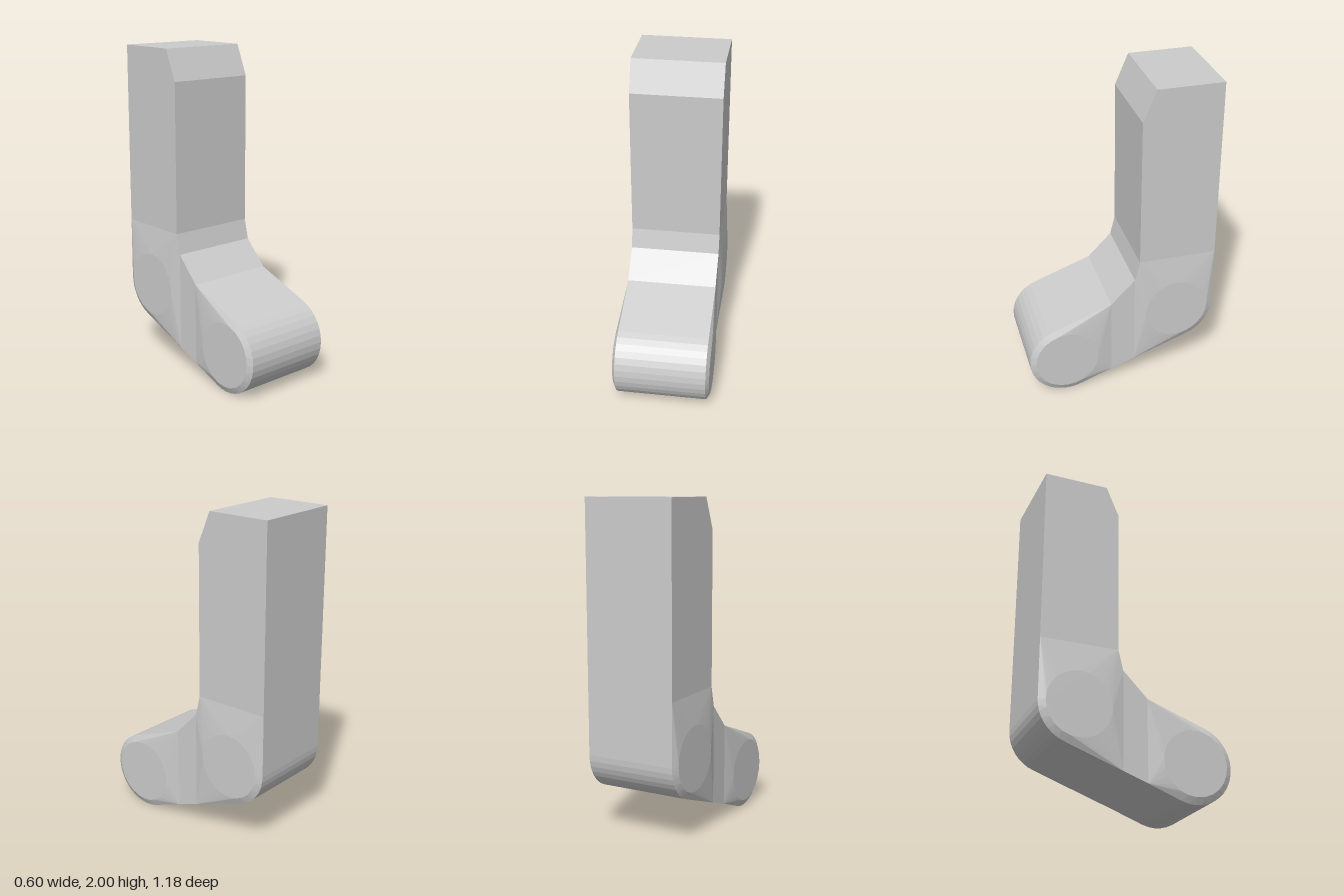
import * as THREE from 'three';
import { ConvexGeometry } from 'three/addons/geometries/ConvexGeometry.js';

const HALF = 0.28; // half width of the body
const PAD = 0.3; // half width at the round side pads

// Points [z, y] along an arc, angles in degrees from +z towards +y
function arc(z, y, r, from, to, steps) {
  const points = [];
  for (let i = 0; i <= steps; i++) {
    const a = THREE.MathUtils.degToRad(from + ((to - from) * i) / steps);
    points.push([z + r * Math.cos(a), y + r * Math.sin(a)]);
  }
  return points;
}

// The same [z, y] points on both sides of the model
const bothSides = (points, x) =>
  points.flatMap(([z, y]) => [new THREE.Vector3(x, y, z), new THREE.Vector3(-x, y, z)]);

export function createModel() {
  const group = new THREE.Group();
  const material = new THREE.MeshStandardMaterial({ color: 0xcccccc, flatShading: true });

  // Convex block from a side outline, optionally swelling out to a round pad
  function addBlock(name, outline, disc = []) {
    const points = [...bothSides(outline, HALF), ...bothSides(disc, PAD)];
    const mesh = new THREE.Mesh(new ConvexGeometry(points), material);
    mesh.name = name;
    group.add(mesh);
  }

  // Upright shin with a sloped front edge at the top
  addBlock('shin', [[-0.11, 0.88], [-0.11, 1.81], [-0.19, 2], [-0.59, 2], [-0.59, 0.88]]);

  // Ankle with rounded heel and side pads
  addBlock(
    'ankle',
    [[-0.11, 0.88], [-0.08, 0.755], [-0.08, 0.146], ...arc(-0.35, 0.5, 0.24, 250, 180, 8), [-0.59, 0.88]],
    arc(-0.35, 0.5, 0.2, 0, 345, 23)
  );

  // Instep joining ankle and toe
  addBlock('instep', [[-0.08, 0.755], [0.07, 0.6], [0.07, 0.092], [-0.08, 0.146]]);

  // Rounded toe with side pads
  addBlock(
    'toe',
    [[0.07, 0.6], [0.07, 0.092], ...arc(0.355, 0.24, 0.24, -110, 71.5, 18)],
    arc(0.36, 0.24, 0.2, 0, 345, 23)
  );

  return group;
}
